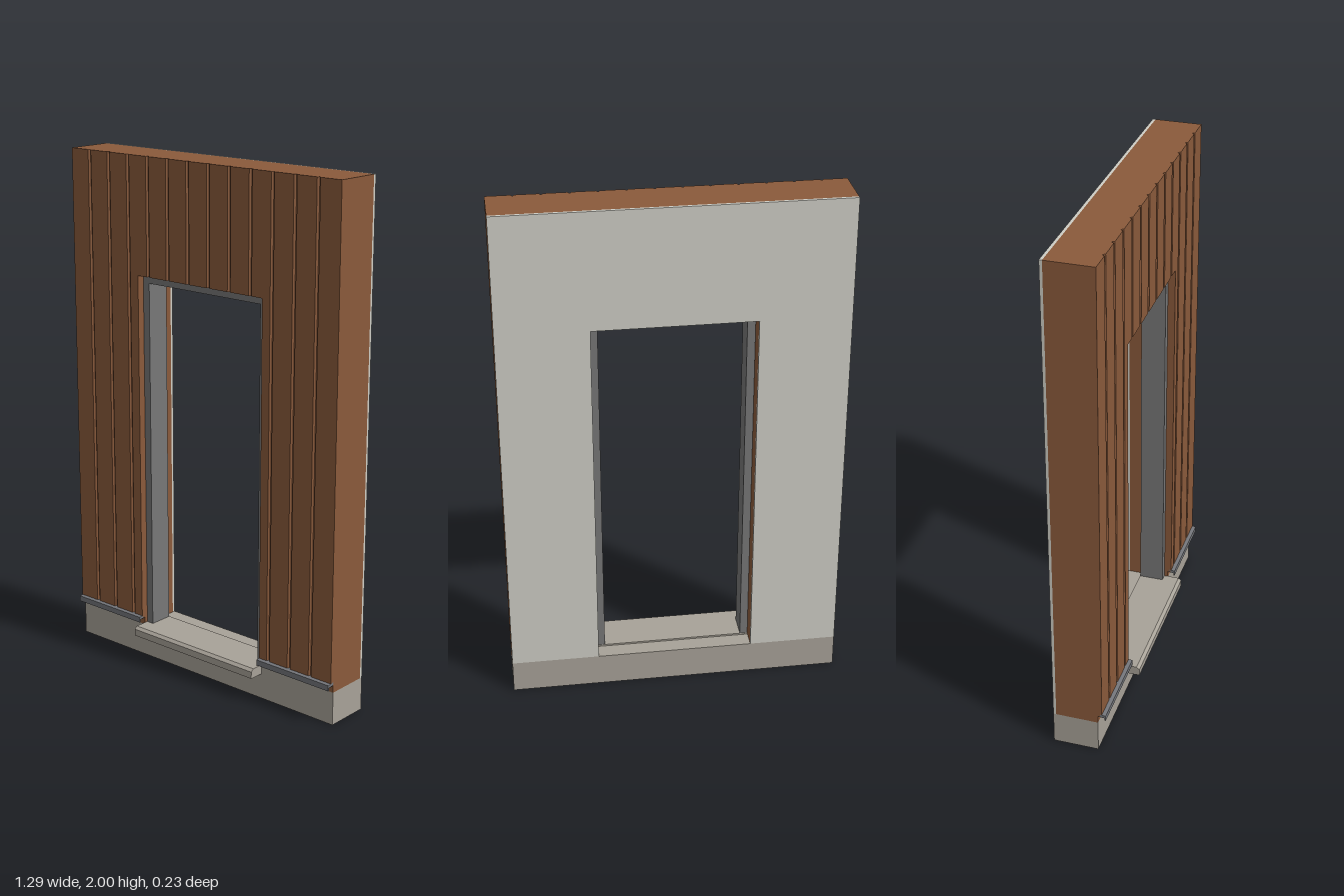
import * as THREE from 'three';

const HALF = 0.643, OPEN = 0.303, HEAD = 1.55, BASE = 0.13, TOP = 2;
const BACK = -0.117, PLASTER = -0.106, CORE = 0.058, FACE = 0.073;

export function createModel() {
  const group = new THREE.Group();
  const mat = (name, color) => {
    const m = new THREE.MeshStandardMaterial({ color });
    m.name = name;
    return m;
  };
  const wood = mat('brown timber', 0x8a5a3b);
  const concrete = mat('warm concrete', 0xa8a298);
  const plaster = mat('pale plaster', 0xcecdc5);
  const frameGrey = mat('frame grey', 0x777777);
  const metal = mat('flashing grey', 0x73757a);

  const add = (name, geometry, material) => {
    const mesh = new THREE.Mesh(geometry, material);
    mesh.name = name;
    group.add(mesh);
    return mesh;
  };
  const box = (name, material, x0, x1, y0, y1, z0, z1) =>
    add(name, new THREE.BoxGeometry(x1 - x0, y1 - y0, z1 - z0)
      .translate((x0 + x1) / 2, (y0 + y1) / 2, (z0 + z1) / 2), material);
  const polygon = (points) => new THREE.Shape(points.map(([x, y]) => new THREE.Vector2(x, y)));
  const extrude = (points, depth) =>
    new THREE.ExtrudeGeometry(polygon(points), { depth, bevelEnabled: false });

  // Doorway-shaped slab: an arch of two legs and a head
  const portal = (name, material, outer, inner, bottom, head, top, z0, z1) =>
    add(name, extrude([
      [-outer, bottom], [-inner, bottom], [-inner, head], [inner, head],
      [inner, bottom], [outer, bottom], [outer, top], [-outer, top],
    ], z1 - z0).translate(0, 0, z0), material);

  // Profile in (z, y), extended along x
  const alongX = (name, material, points, x0, x1) =>
    add(name, extrude(points.map(([z, y]) => [-z, y]), x1 - x0)
      .rotateY(Math.PI / 2).translate(x0, 0, 0), material);

  // Wall layers
  box('foundation', concrete, -HALF, HALF, 0, BASE, BACK, CORE);
  portal('wallCore', wood, HALF, OPEN, BASE, HEAD, TOP, PLASTER, CORE);
  portal('innerPlaster', plaster, HALF, OPEN, BASE, HEAD, TOP, BACK, PLASTER);

  // Grooved vertical cladding, cut from a plan profile in (x, z)
  const cladding = (name, x0, x1, y0, y1) => {
    const w = 0.007, d = 0.008;
    const points = [[x0, CORE], [x0, FACE]];
    for (let i = 0; i < 12; i++) {
      const g = -0.549 + i * 0.0995;
      if (g - w < x0 || g + w > x1) continue;
      points.push([g - w, FACE], [g - 0.002, FACE - d], [g + 0.002, FACE - d], [g + w, FACE]);
    }
    points.push([x1, FACE], [x1, CORE]);
    const geometry = extrude(points.map(([x, z]) => [x, -z]), y1 - y0);
    add(name, geometry.rotateX(-Math.PI / 2).translate(0, y0, 0), wood);
  };
  cladding('rightCladding', -HALF, -OPEN, 0.16, HEAD);
  cladding('leftCladding', OPEN, HALF, 0.16, HEAD);
  cladding('headCladding', -HALF, HALF, HEAD, TOP);

  // Drip flashing under the cladding on each side of the door
  const drip = [[CORE, 0.16], [0.083, 0.157], [0.083, 0.146], [0.088, 0.146], [0.088, 0.168], [CORE, 0.172]];
  alongX('rightFlashing', metal, drip, -HALF, -OPEN);
  alongX('leftFlashing', metal, drip, OPEN, HALF);

  // Door frame set back in the opening
  portal('doorFrame', frameGrey, OPEN - 0.001, 0.272, BASE, 1.52, HEAD - 0.001, -0.05, 0.045);

  // Threshold with a sloped nose
  alongX('thresholdNose', concrete,
    [[CORE, 0.1], [0.117, 0.1], [0.117, 0.127], [0.105, 0.137], [CORE, 0.137]], -OPEN, OPEN);
  box('threshold', concrete, -OPEN + 0.001, OPEN - 0.001, BASE - 0.01, 0.137, -0.052, CORE);

  return group;
}
